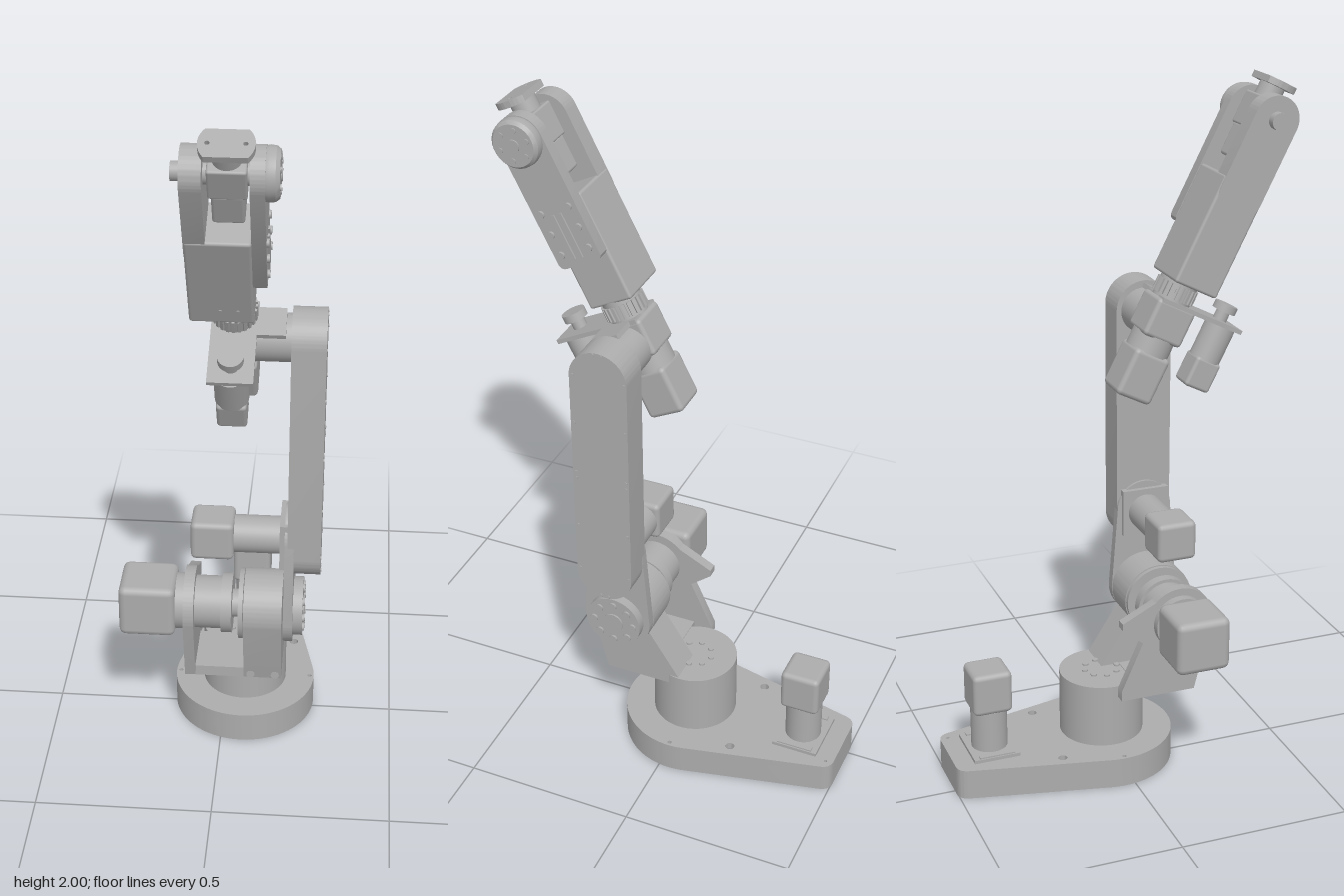
import * as THREE from 'three';
import { toCreasedNormals } from 'three/addons/utils/BufferGeometryUtils.js';
import { RoundedBoxGeometry } from 'three/addons/geometries/RoundedBoxGeometry.js';

export function createModel() {
  const grey = new THREE.MeshStandardMaterial({ color: 0xacacac });
  grey.name = 'machined grey';
  const model = new THREE.Group();
  model.name = 'robotArm';

  const group = (parent, name) => {
    const g = new THREE.Group();
    g.name = name;
    parent.add(g);
    return g;
  };
  const add = (parent, name, geo, x = 0, y = 0, z = 0) => {
    const m = new THREE.Mesh(geo, grey);
    m.name = name;
    m.position.set(x, y, z);
    parent.add(m);
    return m;
  };
  // Box given by its limits, optionally with rounded edges
  const box = (p, name, x0, x1, y0, y1, z0, z1, r = 0) => {
    const s = [x1 - x0, y1 - y0, z1 - z0];
    const geo = r ? new RoundedBoxGeometry(...s, 2, r) : new THREE.BoxGeometry(...s);
    return add(p, name, geo, (x0 + x1) / 2, (y0 + y1) / 2, (z0 + z1) / 2);
  };
  // Cylinders along x and y, given by their end positions
  const cylX = (p, name, r, x0, x1, y, z, n = 40) =>
    add(p, name, new THREE.CylinderGeometry(r, r, x1 - x0, n).rotateZ(Math.PI / 2), (x0 + x1) / 2, y, z);
  const cylY = (p, name, r, y0, y1, x, z, n = 40) =>
    add(p, name, new THREE.CylinderGeometry(r, r, y1 - y0, n), x, (y0 + y1) / 2, z);
  const extrude = (shape, depth) => toCreasedNormals(
    new THREE.ExtrudeGeometry(shape, { depth, bevelEnabled: false, curveSegments: 32 }), 0.5);
  // Side profile (z, y) extruded from x0 to x1
  const sidePlate = (p, name, shape, x0, x1) =>
    add(p, name, extrude(shape, x1 - x0).rotateY(-Math.PI / 2), x1);
  // Plan profile (x, -z) extruded from y0 to y1
  const slab = (p, name, shape, y0, y1) =>
    add(p, name, extrude(shape, y1 - y0).rotateX(-Math.PI / 2), 0, y0);
  const hole = (shape, x, y, r) => shape.holes.push(new THREE.Path().absarc(x, y, r, 0, Math.PI * 2, true));
  const boltsX = (p, n, ring, r, x0, x1, y, z) => {
    for (let i = 0; i < n; i++) {
      const a = (i / n) * Math.PI * 2;
      cylX(p, 'bolt', r, x0, x1, y + Math.sin(a) * ring, z + Math.cos(a) * ring, 12);
    }
  };
  // Capsule profile around two centres on a vertical line
  const capsule = (z, ya, yb, ra, rb) => {
    const s = new THREE.Shape();
    s.absarc(z, yb, rb, 0, Math.PI, false);
    s.absarc(z, ya, ra, Math.PI, Math.PI * 2, false);
    s.closePath();
    return s;
  };

  // Base: hollow underside, drilled lid, ring gear and pulley
  const CX = 0.06, CZ = -0.03;
  const outline = (inset, T = THREE.Shape) => {
    const s = new T(), r = 0.208 - inset, a = 0.215, w = 0.108 - inset * 0.8, b = 0.503 - inset, c = 0.03;
    s.absarc(CX, -CZ, r, Math.PI - a, Math.PI * 2 + a, false);
    s.lineTo(CX + w + 0.007, b - c);
    s.quadraticCurveTo(CX + w, b, CX + w - c, b);
    s.lineTo(CX - w + c, b);
    s.quadraticCurveTo(CX - w, b, CX - w - 0.007, b - c);
    s.closePath();
    return s;
  };
  const base = group(model, 'base');
  const wall = outline(0);
  wall.holes.push(outline(0.035, THREE.Path));
  slab(base, 'baseWall', wall, 0, 0.07);
  const lid = outline(0);
  for (const s of [-1, 1]) {
    hole(lid, CX + s * 0.14, 0.2, 0.013);
    hole(lid, CX + s * 0.195, 0.03, 0.006);
  }
  hole(lid, 0.147, 0.48, 0.005);
  slab(base, 'baseLid', lid, 0.07, 0.09);
  const gear = new THREE.Shape();
  for (let i = 0; i < 160; i++) {
    const a = (i / 160) * Math.PI * 2, r = i % 4 < 2 ? 0.135 : 0.128;
    gear[i ? 'lineTo' : 'moveTo'](CX + Math.cos(a) * r, -CZ + Math.sin(a) * r);
  }
  hole(gear, CX, -CZ, 0.115);
  slab(base, 'ringGear', gear, 0.02, 0.07);
  cylY(base, 'hubPlate', 0.114, 0.035, 0.07, CX, CZ);
  cylY(base, 'hubBoss', 0.04, 0.025, 0.04, CX, CZ);
  cylY(base, 'drivePulley', 0.028, 0.02, 0.07, CX, -0.378, 20);

  // Turntable column with a ring of bolts
  cylY(base, 'column', 0.123, 0.09, 0.28, CX, CZ, 64);
  for (let i = 0; i < 8; i++) {
    const a = (i / 8) * Math.PI * 2;
    cylY(base, 'bolt', 0.009, 0.28, 0.285, CX + Math.cos(a) * 0.05, CZ + Math.sin(a) * 0.05, 12);
  }

  // Base motor
  const baseMotor = group(model, 'baseMotor');
  box(baseMotor, 'mountPlate', -0.025, 0.142, 0.09, 0.1, -0.447, -0.31);
  for (const x of [-0.013, 0.13]) box(baseMotor, 'slotRail', x - 0.008, x + 0.008, 0.1, 0.104, -0.43, -0.325);
  cylY(baseMotor, 'gearbox', 0.053, 0.1, 0.225, 0.06, -0.378);
  box(baseMotor, 'motorBody', 0.002, 0.118, 0.222, 0.35, -0.436, -0.32, 0.015);

  // Shoulder bracket: block on one side, motor plate on the other
  const shoulder = group(model, 'shoulder');
  const JY = 0.476, JZ = 0.153;
  const cheek = hook => {
    const s = new THREE.Shape();
    s.moveTo(-0.025, 0.25);
    s.lineTo(0.2, 0.25);
    s.absarc(JZ, JY, 0.102, -0.24, hook ? 2.4 : 3.7, false);
    if (hook) {
      s.lineTo(-0.022, 0.495);
      s.lineTo(-0.022, 0.475);
      s.lineTo(0.04, 0.425);
    }
    s.lineTo(-0.025, 0.28);
    s.closePath();
    return s;
  };
  sidePlate(shoulder, 'shoulderBlock', cheek(false), 0.07, 0.178);
  sidePlate(shoulder, 'motorPlate', cheek(true), -0.1, -0.07);
  box(shoulder, 'bracketFloor', -0.1, 0.178, 0.25, 0.282, 0.03, 0.2);
  for (const x of [0.09, 0.16]) add(shoulder, 'bolt', new THREE.CylinderGeometry(0.012, 0.012, 0.008, 12).rotateX(Math.PI / 2), x, 0.265, 0.203);
  box(shoulder, 'motorBody', -0.285, -0.125, 0.398, 0.556, 0.073, 0.232, 0.02);
  cylX(shoulder, 'motorCollar', 0.08, -0.125, -0.1, JY, JZ);
  cylX(shoulder, 'gearbox', 0.075, -0.07, 0.02, JY, JZ);
  cylX(shoulder, 'gearboxFlange', 0.085, 0.005, 0.035, JY, JZ);
  cylX(shoulder, 'driveShaft', 0.04, 0.02, 0.075, JY, JZ);
  cylX(shoulder, 'bearingRing', 0.1, 0.055, 0.068, JY, JZ);

  // Upper arm: thin link plate, drive hub and long capsule housing
  const upperArm = group(model, 'upperArm');
  sidePlate(upperArm, 'linkPlate', capsule(JZ, JY, 0.72, 0.102, 0.083), 0.182, 0.208);
  cylX(upperArm, 'hubDisc', 0.083, 0.208, 0.235, JY, JZ);
  cylX(upperArm, 'hubCap', 0.03, 0.235, 0.24, JY, JZ);
  boltsX(upperArm, 8, 0.06, 0.012, 0.235, 0.241, JY, JZ);
  sidePlate(upperArm, 'armHousing', capsule(JZ, 0.685, 1.328, 0.083, 0.083), 0.19, 0.282);
  for (const y of [0.69, 0.84, 1.0, 1.02, 1.18, 1.33])
    for (const s of [-1, 1]) cylX(upperArm, 'screw', 0.005, 0.282, 0.284, y, JZ + s * 0.074, 8);
  for (const y of [0.609, 1.404])
    for (const s of [-1, 1]) cylX(upperArm, 'screw', 0.005, 0.282, 0.284, y, JZ + s * 0.012, 8);

  // Elbow drive motor
  const elbowMotor = group(model, 'elbowMotor');
  box(elbowMotor, 'mountPlate', 0.168, 0.19, 0.642, 0.782, 0.083, 0.223);
  cylX(elbowMotor, 'gearbox', 0.053, 0.04, 0.168, 0.712, JZ);
  box(elbowMotor, 'motorBody', -0.08, 0.04, 0.654, 0.77, JZ - 0.058, JZ + 0.058, 0.015);

  // Forearm: tilted frame whose y axis runs from elbow to wrist
  const forearm = group(model, 'forearm');
  forearm.position.set(0, 1.33, 0.14);
  forearm.rotation.x = THREE.MathUtils.degToRad(27);
  const FX = 0.04, WT = 0.63;
  cylX(forearm, 'elbowShaft', 0.065, 0.09, 0.192, 0, 0.01);
  box(forearm, 'elbowBlock', -0.02, 0.1, -0.04, 0.07, -0.06, 0.062, 0.012);
  cylY(forearm, 'rollGearbox', 0.062, -0.085, -0.035, FX, 0);
  box(forearm, 'rollMotor', FX - 0.058, FX + 0.057, -0.22, -0.08, -0.056, 0.056, 0.014);
  box(forearm, 'beltPlate', -0.02, 0.1, 0.062, 0.074, -0.05, 0.215);
  box(forearm, 'sidePlate', 0.1, 0.175, 0.06, 0.074, -0.03, 0.06);

  // Small auxiliary motor beside the elbow
  const aux = group(forearm, 'auxiliaryMotor');
  box(aux, 'motorBody', 0.0, 0.08, -0.13, -0.04, 0.135, 0.215, 0.01);
  cylY(aux, 'gearbox', 0.045, -0.045, 0.062, FX, 0.175);
  cylY(aux, 'shaft', 0.02, 0.074, 0.115, FX, 0.165, 20);
  cylY(aux, 'pulley', 0.034, 0.1, 0.122, FX, 0.165, 24);

  // Ribbed roll collar
  cylY(forearm, 'rollCollar', 0.055, 0.07, 0.135, FX, 0);
  for (let i = 0; i < 24; i++) {
    const a = (i / 24) * Math.PI * 2;
    const rib = add(forearm, 'collarRib', new THREE.BoxGeometry(0.008, 0.04, 0.008),
      FX + Math.cos(a) * 0.057, 0.1, Math.sin(a) * 0.057);
    rib.rotation.y = -a;
  }

  // Forearm body and the two fork cheeks
  box(forearm, 'forearmBody', -0.072, 0.095, 0.13, 0.445, -0.068, 0.068, 0.008);
  sidePlate(forearm, 'rightCheek', capsule(0, 0.41, WT, 0.066, 0.066), -0.072, -0.018);
  const cover = new THREE.Shape();
  cover.absarc(0, WT, 0.068, 0, Math.PI, false);
  cover.lineTo(-0.068, 0.29);
  cover.quadraticCurveTo(-0.068, 0.27, -0.048, 0.27);
  cover.lineTo(0.048, 0.27);
  cover.quadraticCurveTo(0.068, 0.27, 0.068, 0.29);
  cover.closePath();
  sidePlate(forearm, 'leftCover', cover, 0.095, 0.131);
  for (const z of [-0.012, 0.012]) box(forearm, 'coverRib', 0.131, 0.136, 0.29, 0.42, z - 0.005, z + 0.005);
  for (const t of [0.31, 0.37, 0.43])
    for (const z of [-0.045, 0.045]) cylX(forearm, 'bolt', 0.011, 0.131, 0.138, t, z, 12);
  for (const x of [0.01, 0.055])
    add(forearm, 'screw', new THREE.CylinderGeometry(0.005, 0.005, 0.004, 8).rotateX(Math.PI / 2), x, 0.18, 0.068);

  // Wrist joint, tool block and flange
  const wrist = group(forearm, 'wrist');
  const disc = [[0, 0.131], [0.066, 0.131], [0.068, 0.14], [0.066, 0.155], [0.058, 0.165], [0, 0.165]]
    .map(([r, h]) => new THREE.Vector2(r, h));
  add(wrist, 'wristPulleyCover', toCreasedNormals(new THREE.LatheGeometry(disc, 40).rotateZ(-Math.PI / 2), 0.5), 0, WT, 0);
  boltsX(wrist, 6, 0.042, 0.008, 0.165, 0.168, WT, 0);
  cylX(wrist, 'hub', 0.018, 0.165, 0.169, WT, 0, 20);
  cylX(wrist, 'pivotCap', 0.024, -0.096, -0.072, WT, 0, 24);
  cylX(wrist, 'pivotShaft', 0.03, -0.02, 0.097, WT, 0, 24);
  box(wrist, 'toolMotor', 0.0, 0.08, 0.49, 0.585, -0.04, 0.04, 0.008);
  box(wrist, 'toolBlock', -0.008, 0.088, 0.58, 0.675, -0.043, 0.043, 0.006);
  cylY(wrist, 'toolNeck', 0.036, 0.67, 0.715, FX, 0);
  const flange = new THREE.Shape(), fa = Math.asin(0.044 / 0.068);
  flange.absarc(FX, 0, 0.068, -fa, fa, false);
  flange.absarc(FX, 0, 0.068, Math.PI - fa, Math.PI + fa, false);
  flange.closePath();
  for (const s of [-1, 1]) hole(flange, FX + s * 0.045, 0, 0.006);
  slab(wrist, 'toolFlange', flange, 0.712, 0.73);

  return model;
}
